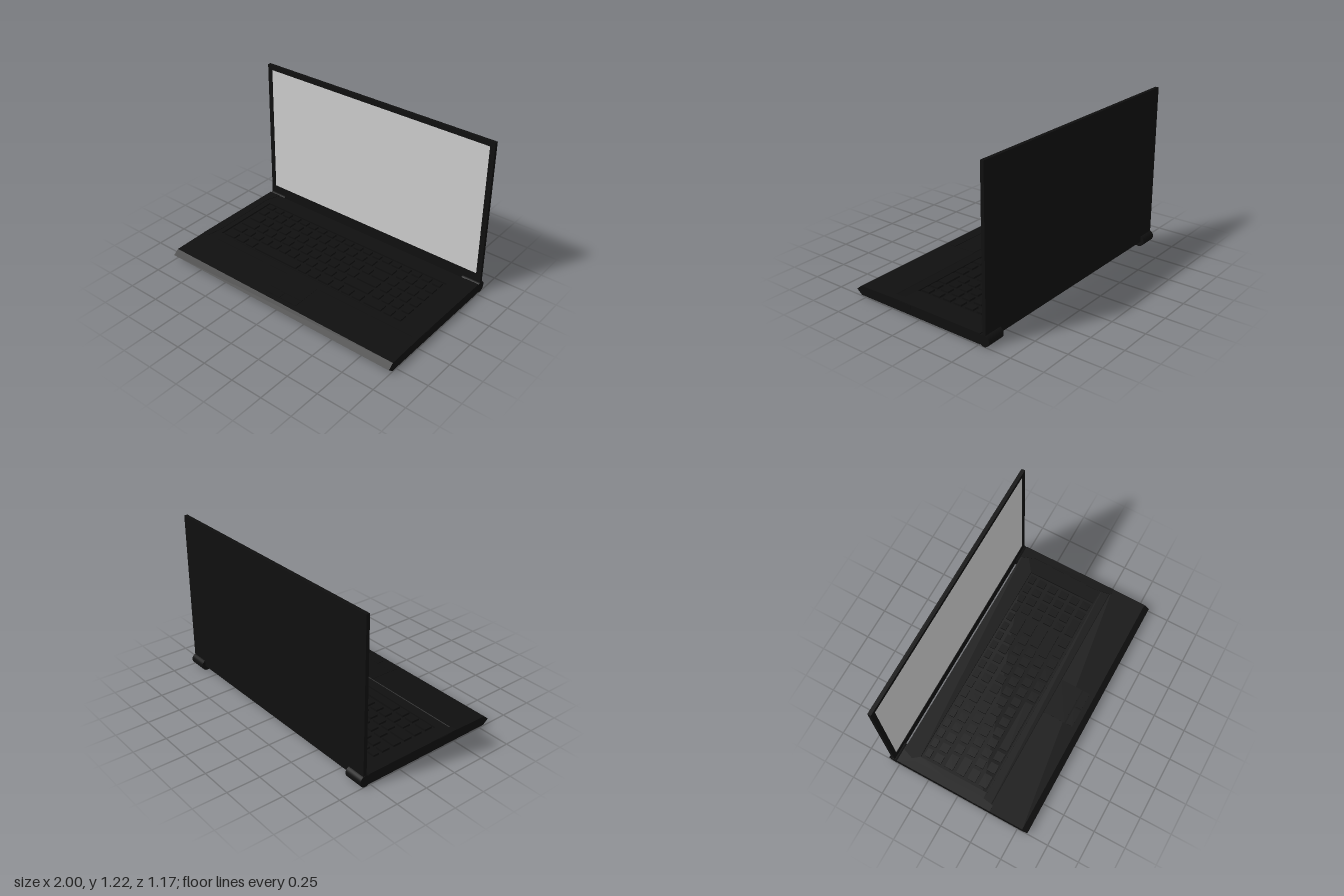
import * as THREE from 'three';

const black = new THREE.MeshStandardMaterial({ color: 0x0f0f0f });
const grey = new THREE.MeshStandardMaterial({ color: 0xcccccc });

export function createModel() {
  const model = new THREE.Group();

  const add = (name, geometry, x = 0, y = 0, z = 0, material = black, parent = model) => {
    const mesh = new THREE.Mesh(geometry, material);
    mesh.name = name;
    mesh.position.set(x, y, z);
    parent.add(mesh);
    return mesh;
  };
  const box = (name, x0, x1, y0, y1, z0, z1, parent = model) =>
    add(name, new THREE.BoxGeometry(x1 - x0, y1 - y0, z1 - z0),
      (x0 + x1) / 2, (y0 + y1) / 2, (z0 + z1) / 2, black, parent);
  const polygon = (points, Kind = THREE.Shape) => new Kind(points.map(p => new THREE.Vector2(...p)));
  const rect = (x0, x1, y0, y1, Kind) => polygon([[x0, y0], [x1, y0], [x1, y1], [x0, y1]], Kind);
  const extrude = (shape, depth) => new THREE.ExtrudeGeometry(shape, { depth, bevelEnabled: false });

  // Side profile (z, y) extruded across the full width
  const acrossWidth = (name, points, width = 2) => {
    const g = extrude(polygon(points), width);
    g.translate(0, 0, -width / 2);
    g.rotateY(-Math.PI / 2);
    return add(name, g);
  };

  // Lower case with its pointed front edge and palm rest
  acrossWidth('baseShell', [
    [-0.51, 0.008], [0.54, 0.008], [0.583, 0.043], [0.54, 0.077],
    [0.26, 0.084], [0.255, 0.081], [0.19, 0.081], [0.19, 0.07], [-0.51, 0.07],
  ]);

  // Keyboard deck with a sunken well
  const deckShape = rect(-1, 1, -0.19, 0.51);
  deckShape.holes.push(rect(-0.89, 0.82, -0.18, 0.375, THREE.Path));
  const deck = extrude(deckShape, 0.012);
  deck.rotateX(-Math.PI / 2);
  add('keyboardDeck', deck, 0, 0.07, 0);

  // Raised, tapered rails along both sides of the deck
  for (const s of [-1, 1]) {
    const points = [[1, -0.27], [1, 0.51], [0.9, 0.51], [0.94, 0.4], [0.93, -0.14], [0.95, -0.27]];
    const shape = polygon(points.map(([x, y]) => [s * x, y]));
    const rail = extrude(shape, 0.004);
    rail.rotateX(-Math.PI / 2);
    add(s > 0 ? 'leftRail' : 'rightRail', rail, 0, 0.081, 0);
    // Port block in the side wall
    box(s > 0 ? 'leftPort' : 'rightPort', s - 0.0015, s + 0.0015, 0.046, 0.08, 0.08, 0.19);
  }

  // Keyboard: rows of key widths, each scaled to fill its span
  const keyboard = new THREE.Group();
  keyboard.name = 'keyboard';
  model.add(keyboard);
  const keyRow = (x0, x1, z, depth, widths) => {
    const unit = (x1 - x0) / widths.reduce((a, b) => a + b, 0);
    let x = x0;
    for (const w of widths) {
      box('key', x + 0.013, x + w * unit - 0.013, 0.068, 0.084, z - depth / 2, z + depth / 2, keyboard);
      x += w * unit;
    }
  };
  const ones = n => Array(n).fill(1);
  keyRow(-0.88, 0.81, -0.335, 0.045, ones(19));
  const rows = [
    [-0.25, [...ones(13), 2]],
    [-0.15, [1.5, ...ones(12), 1.5]],
    [-0.055, [1.8, ...ones(11), 2.2]],
    [0.04, [1.3, ...ones(11), 2.7]],
    [0.135, [1.3, 1, 1, 4.5, 1, 1, 1.2, 1, 1, 1]],
  ];
  rows.forEach(([z, widths], i) => {
    keyRow(-0.88, 0.46, z, 0.065, widths);
    keyRow(0.47, 0.81, z, 0.065, i === 4 ? [2, 1, 1] : ones(4));
  });

  // Touchpad and its two buttons, lying on the sloped palm rest
  const touch = new THREE.Group();
  touch.name = 'touchpad';
  touch.position.set(0, 0.081, 0.385);
  touch.rotation.x = Math.atan(0.007 / 0.28);
  model.add(touch);
  box('touchpadSurface', -0.15, 0.14, -0.002, 0.002, -0.125, 0.05, touch);
  box('touchpadButton', -0.15, -0.01, -0.002, 0.003, 0.06, 0.115, touch);
  box('touchpadButton', 0, 0.14, -0.002, 0.003, 0.06, 0.115, touch);

  // Lid: back panel, bezel frame and recessed screen
  box('lidBack', -0.998, 0.998, 0.04, 1.225, -0.557, -0.539);
  const bezel = rect(-0.998, 0.998, 0.04, 1.225);
  bezel.holes.push(rect(-0.96, 0.96, 0.15, 1.187, THREE.Path));
  add('screenBezel', extrude(bezel, 0.008), 0, 0, -0.539);
  add('screen', new THREE.PlaneGeometry(1.92, 1.037), 0, 0.6685, -0.535, grey);

  // Hinge barrels at both rear corners, tied to the base
  for (const s of [-1, 1]) {
    const barrel = new THREE.CylinderGeometry(0.043, 0.043, 0.145, 32);
    barrel.rotateZ(Math.PI / 2);
    add(s > 0 ? 'leftHinge' : 'rightHinge', barrel, s * 0.9275, 0.044, -0.541);
    box('hingeMount', s * 0.9275 - 0.0725, s * 0.9275 + 0.0725, 0.012, 0.078, -0.535, -0.505);
  }

  return model;
}
